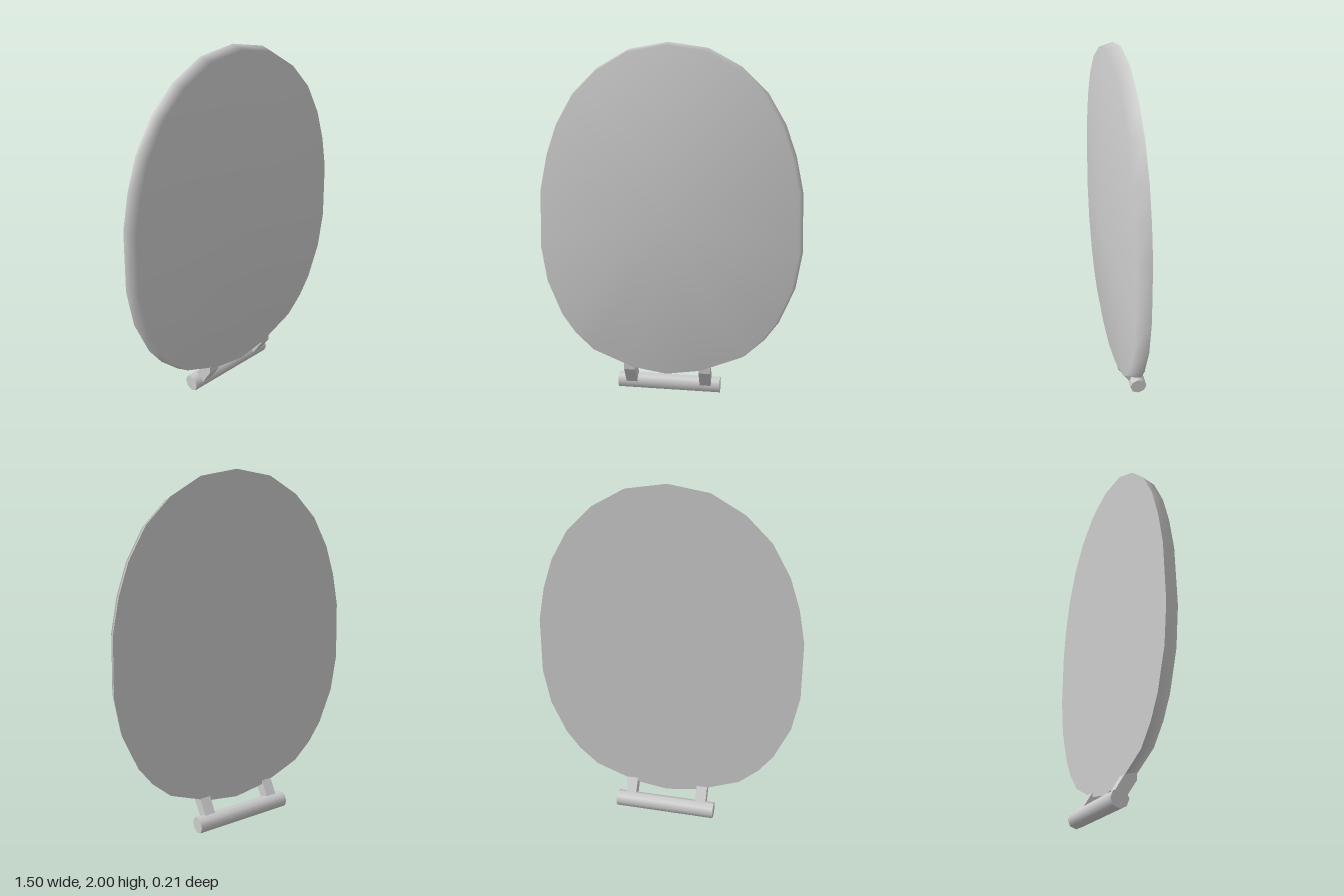
import * as THREE from 'three';

const material = new THREE.MeshStandardMaterial({ color: 0xcccccc });

function addMesh(group, name, geometry) {
  const mesh = new THREE.Mesh(geometry, material);
  mesh.name = name;
  group.add(mesh);
  return mesh;
}

// Right half of the lid outline, top to bottom
const half = [
  [0, 2], [0.22, 1.965], [0.4, 1.865], [0.54, 1.73], [0.64, 1.56], [0.7, 1.39], [0.74, 1.2],
  [0.75, 0.87], [0.715, 0.66], [0.63, 0.46], [0.55, 0.35], [0.44, 0.25], [0.2, 0.155], [0, 0.125],
];
// Full loop, counter-clockwise seen from the front
const outline = [
  ...half.map(([x, y]) => [-x, y]),
  ...half.slice(1, -1).reverse(),
];
const CENTRE_Y = 1.03;

function fromTriangles(positions, index) {
  const g = new THREE.BufferGeometry();
  g.setAttribute('position', new THREE.Float32BufferAttribute(positions, 3));
  g.setIndex(index);
  g.computeVertexNormals();
  return g;
}

// Domed front fan and bevelled rim, smoothly shaded together
function lidShell() {
  const n = outline.length;
  const pos = [], index = [];
  for (const [x, y] of outline) {
    pos.push(x * 0.968, CENTRE_Y + (y - CENTRE_Y) * 0.978, 0.063);
  }
  for (const [x, y] of outline) pos.push(x, y, -0.01);
  pos.push(0, CENTRE_Y, 0.105);
  for (let i = 0; i < n; i++) {
    const j = (i + 1) % n;
    index.push(2 * n, i, j);
    index.push(i, n + i, n + j, i, n + j, j);
  }
  return fromTriangles(pos, index);
}

// Flat underside
function lidBack() {
  const n = outline.length;
  const pos = outline.flatMap(([x, y]) => [x, y, -0.01]);
  pos.push(0, CENTRE_Y, -0.01);
  const index = [];
  for (let i = 0; i < n; i++) index.push(n, (i + 1) % n, i);
  return fromTriangles(pos, index);
}

// Slanted arm, drawn as a (z, y) profile and extruded across its width
function hingeArm(x) {
  const profile = [
    [0.055, 0.19], [-0.01, 0.178], [-0.065, 0.09], [-0.06, 0.05], [-0.012, 0.055], [0.055, 0.155],
  ].map(([z, y]) => new THREE.Vector2(z, y));
  const width = 0.065;
  return new THREE.ExtrudeGeometry(new THREE.Shape(profile), { depth: width, bevelEnabled: false })
    .translate(0, 0, -width / 2)
    .rotateY(-Math.PI / 2)
    .translate(x, 0, 0);
}

export function createModel() {
  const model = new THREE.Group();
  model.name = 'lid';

  addMesh(model, 'lidShell', lidShell());
  addMesh(model, 'lidBack', lidBack());

  // Hinge bar along x with two arms
  const bar = new THREE.CylinderGeometry(0.048, 0.048, 0.6, 8).rotateZ(Math.PI / 2);
  addMesh(model, 'hingeBar', bar).position.set(0, 0.048, -0.058);
  addMesh(model, 'leftHingeArm', hingeArm(0.217));
  addMesh(model, 'rightHingeArm', hingeArm(-0.217));

  return model;
}
